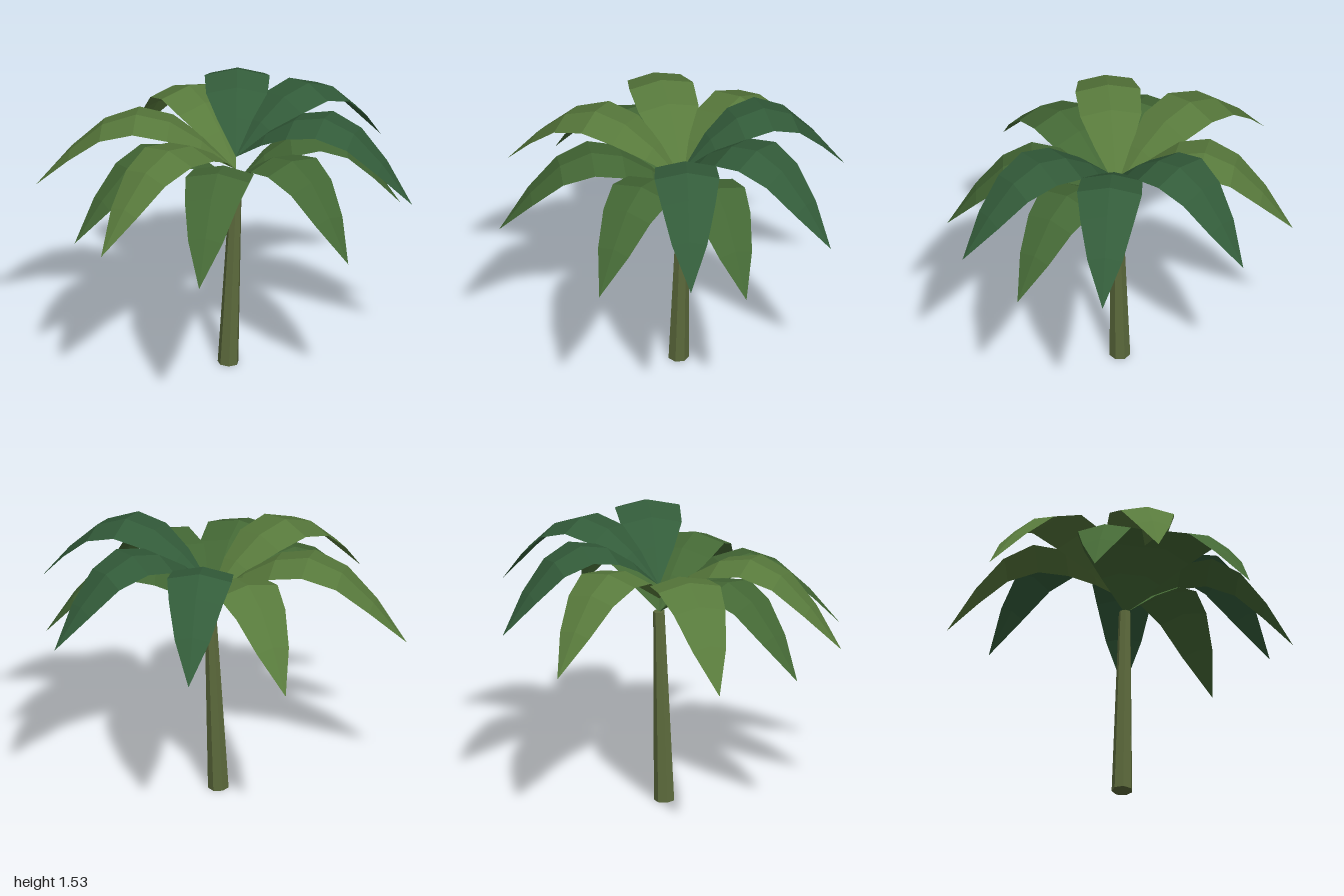
import * as THREE from 'three';

const CROWN = { x: 0.065, z: -0.03 };

// Leaf sections: [position along leaf, height above tier, half width]
const SECTIONS = [
  [0, 0, 0], [0.17, 0.16, 0.1], [0.33, 0.265, 0.165], [0.5, 0.3, 0.175],
  [0.67, 0.23, 0.145], [0.83, 0.07, 0.095], [1, -0.15, 0],
];

// Arching, ridge-folded leaf from the crown to a tip at (tipX, tipZ)
function leafGeometry(tipX, tipZ, baseY) {
  const dx = tipX - CROWN.x, dz = tipZ - CROWN.z;
  const len = Math.hypot(dx, dz);
  const px = -dz / len, pz = dx / len;
  const positions = [], index = [];
  for (const [t, h, w] of SECTIONS) {
    for (const side of [-1, 0, 1]) {
      positions.push(
        CROWN.x + dx * t + px * w * side,
        baseY + h - Math.abs(side) * w * 0.22,
        CROWN.z + dz * t + pz * w * side);
    }
  }
  const last = SECTIONS.length - 2;
  for (let i = 0; i <= last; i++) {
    for (let j = 0; j < 2; j++) {
      const a = i * 3 + j, b = a + 1, c = a + 3, d = a + 4;
      if (i === 0) index.push(a, d, c); // pointed base
      else if (i === last) index.push(a, b, d); // pointed tip
      else if (j === 0) index.push(a, b, c, b, d, c);
      else index.push(a, b, d, a, d, c);
    }
  }
  const geo = new THREE.BufferGeometry();
  geo.setAttribute('position', new THREE.Float32BufferAttribute(positions, 3));
  geo.setIndex(index);
  // the index winds downwards, so turn each face to point up
  for (let i = 0; i < index.length; i += 3) {
    geo.index.setX(i + 1, index[i + 2]);
    geo.index.setX(i + 2, index[i + 1]);
  }
  geo.computeVertexNormals();
  return geo;
}

// Three tiers of leaves, each with its own green
const TIERS = [
  { name: 'lowerLeaf', y: 1.075, color: 0x446835,
    tips: [[0.95, -0.03], [0.62, 0.69], [-0.2, 0.93], [-0.83, 0.34]] },
  { name: 'middleLeaf', y: 1.155, color: 0x587a3c,
    tips: [[-0.71, 0.67], [-1, -0.22], [-0.38, -0.88]] },
  { name: 'upperLeaf', y: 1.23, color: 0x335c3a,
    tips: [[0.14, -0.94], [0.88, -0.55], [0.99, 0.31]] },
];

export function createModel() {
  const model = new THREE.Group();

  // Tapered, slightly leaning trunk
  const bottom = new THREE.Vector3(0.022, 0.004, -0.02);
  const top = new THREE.Vector3(CROWN.x, 1.08, CROWN.z);
  const axis = top.clone().sub(bottom);
  const trunk = new THREE.Mesh(
    new THREE.CylinderGeometry(0.032, 0.057, axis.length(), 7),
    new THREE.MeshStandardMaterial({ color: 0x5c6a3c, flatShading: true }));
  trunk.name = 'trunk';
  trunk.position.copy(bottom).add(top).multiplyScalar(0.5);
  trunk.quaternion.setFromUnitVectors(new THREE.Vector3(0, 1, 0), axis.normalize());
  model.add(trunk);

  // Leaf crown
  const crown = new THREE.Group();
  crown.name = 'crown';
  for (const { name, y, color, tips } of TIERS) {
    const material = new THREE.MeshStandardMaterial({
      color, flatShading: true, side: THREE.DoubleSide });
    for (const [x, z] of tips) {
      const leaf = new THREE.Mesh(leafGeometry(x, z, y), material);
      leaf.name = name;
      crown.add(leaf);
    }
  }
  model.add(crown);
  return model;
}
